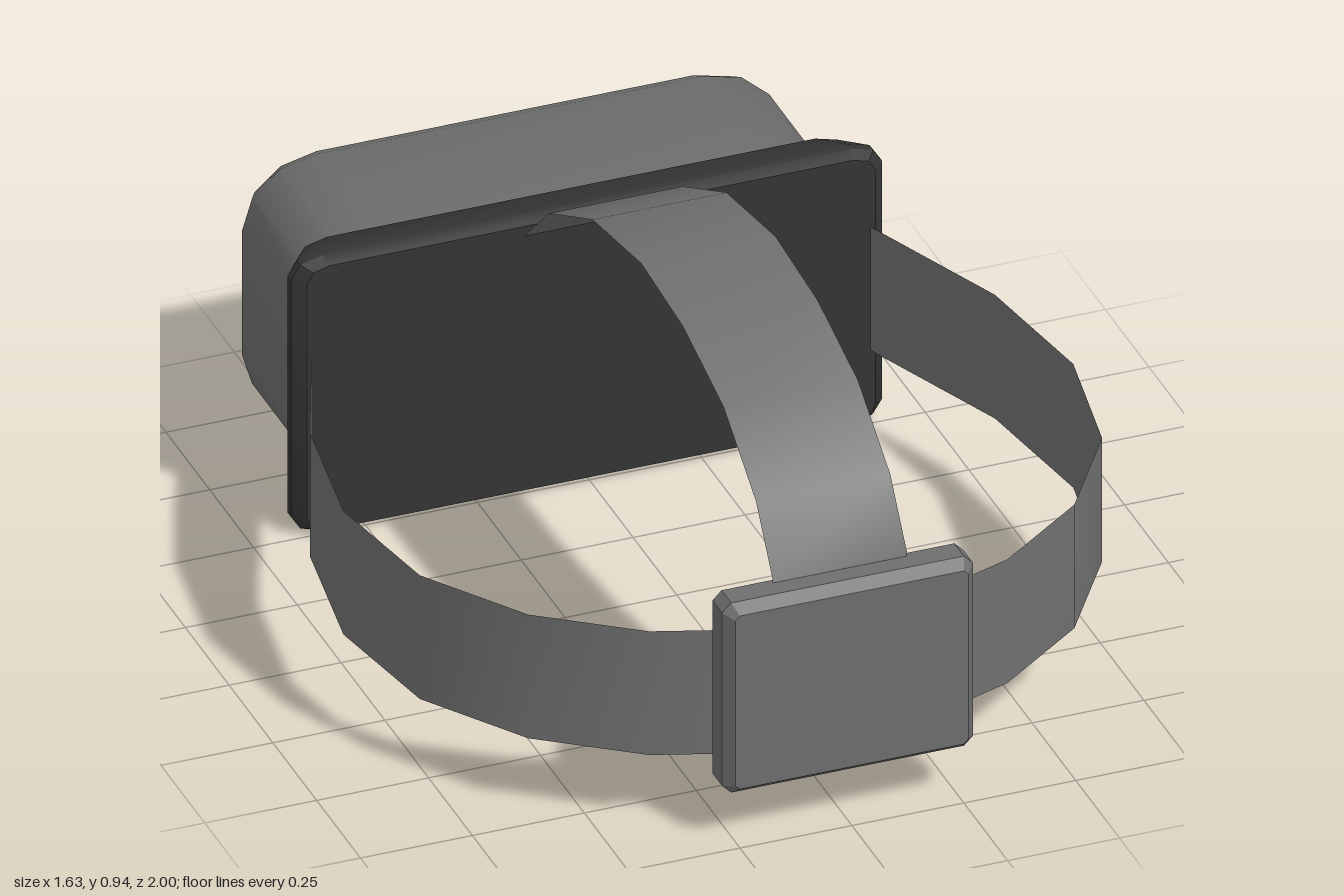
import * as THREE from 'three';
import { toCreasedNormals } from 'three/addons/utils/BufferGeometryUtils.js';

const grey = new THREE.MeshStandardMaterial({ color: 0x6e6e6e });
grey.name = 'shell grey';
const strapGrey = new THREE.MeshStandardMaterial({ color: 0x707070, side: THREE.DoubleSide });
strapGrey.name = 'strap grey';
const dark = new THREE.MeshStandardMaterial({ color: 0x343434 });
dark.name = 'cushion dark grey';

// Closed block through rounded-rectangle rings [z, halfWidth, halfHeight, cornerX, cornerY], from low z to high z
function loftBlock(rings, segs, crease) {
  const pos = [], idx = [];
  const n = 4 * (segs + 1);
  for (const [z, w, h, rx, ry] of rings) {
    for (let q = 0; q < 4; q++) {
      const sx = q === 0 || q === 3 ? 1 : -1, sy = q < 2 ? 1 : -1;
      for (let i = 0; i <= segs; i++) {
        const a = (q + i / segs) * Math.PI / 2;
        pos.push(sx * (w - rx) + rx * Math.cos(a), sy * (h - ry) + ry * Math.sin(a), z);
      }
    }
  }
  for (let r = 0; r < rings.length - 1; r++) {
    for (let i = 0; i < n; i++) {
      const j = (i + 1) % n, a = r * n + i, b = r * n + j;
      idx.push(a, b, b + n, a, b + n, a + n);
    }
  }
  const last = (rings.length - 1) * n;
  for (let i = 1; i < n - 1; i++) {
    idx.push(0, i + 1, i, last, last + i, last + i + 1);
  }
  const g = new THREE.BufferGeometry();
  g.setAttribute('position', new THREE.Float32BufferAttribute(pos, 3));
  g.setIndex(idx);
  return toCreasedNormals(g, crease);
}

// Thin ribbon: each path point gives the two edge points of the strap
function ribbon(path, edgeA, edgeB) {
  const pos = [], idx = [];
  path.forEach((p, i) => {
    pos.push(...edgeA(p), ...edgeB(p));
    const k = 2 * i;
    if (i < path.length - 1) idx.push(k, k + 2, k + 1, k + 1, k + 2, k + 3);
  });
  const g = new THREE.BufferGeometry();
  g.setAttribute('position', new THREE.Float32BufferAttribute(pos, 3));
  g.setIndex(idx);
  g.computeVertexNormals();
  return g;
}

export function createModel() {
  const model = new THREE.Group();
  model.name = 'headset';
  const add = (name, geometry, material, y = 0) => {
    const mesh = new THREE.Mesh(geometry, material);
    mesh.name = name;
    mesh.position.y = y;
    model.add(mesh);
  };

  // Visor housing with rounded corners and a bevelled outer face
  add('visorHousing', loftBlock([
    [-1.0, 0.54, 0.25, 0.13, 0.11],
    [-0.985, 0.58, 0.285, 0.16, 0.14],
    [-0.95, 0.6, 0.3, 0.17, 0.15],
    [-0.56, 0.6, 0.3, 0.17, 0.15],
  ], 3, 0.7), grey, 0.34);

  // Flared face cushion
  add('faceCushion', loftBlock([
    [-0.62, 0.6, 0.305, 0.06, 0.04],
    [-0.605, 0.615, 0.317, 0.07, 0.045],
    [-0.535, 0.66, 0.333, 0.07, 0.045],
    [-0.515, 0.66, 0.333, 0.07, 0.045],
    [-0.49, 0.635, 0.32, 0.05, 0.035],
  ], 2, 0.5), dark, 0.34);

  // Rear pad with chamfered edges
  add('rearPad', loftBlock([
    [0.895, 0.26, 0.21, 0.01, 0.01],
    [0.92, 0.28, 0.23, 0.02, 0.02],
    [0.975, 0.28, 0.23, 0.02, 0.02],
    [1.0, 0.26, 0.21, 0.01, 0.01],
  ], 1, 0.4), grey, 0.36);

  // Side strap: half path as [x, z], mirrored into one loop
  const half = [[0.6, -0.55], [0.765, -0.14], [0.815, 0.18], [0.762, 0.48],
    [0.61, 0.71], [0.4, 0.865], [0.2, 0.935]];
  const loop = [...half, [0, 0.955], ...half.map(([x, z]) => [-x, z]).reverse()];
  add('sideStrap', ribbon(loop, ([x, z]) => [x, 0.19, z], ([x, z]) => [x, 0.49, z]), strapGrey);

  // Top strap: path as [z, y]
  const arch = [[-0.56, 0.57], [-0.35, 0.77], [-0.1, 0.895], [0.18, 0.945],
    [0.42, 0.925], [0.65, 0.86], [0.835, 0.735], [0.93, 0.6], [0.95, 0.48]];
  add('topStrap', ribbon(arch, ([z, y]) => [-0.15, y, z], ([z, y]) => [0.15, y, z]), strapGrey);

  return model;
}
